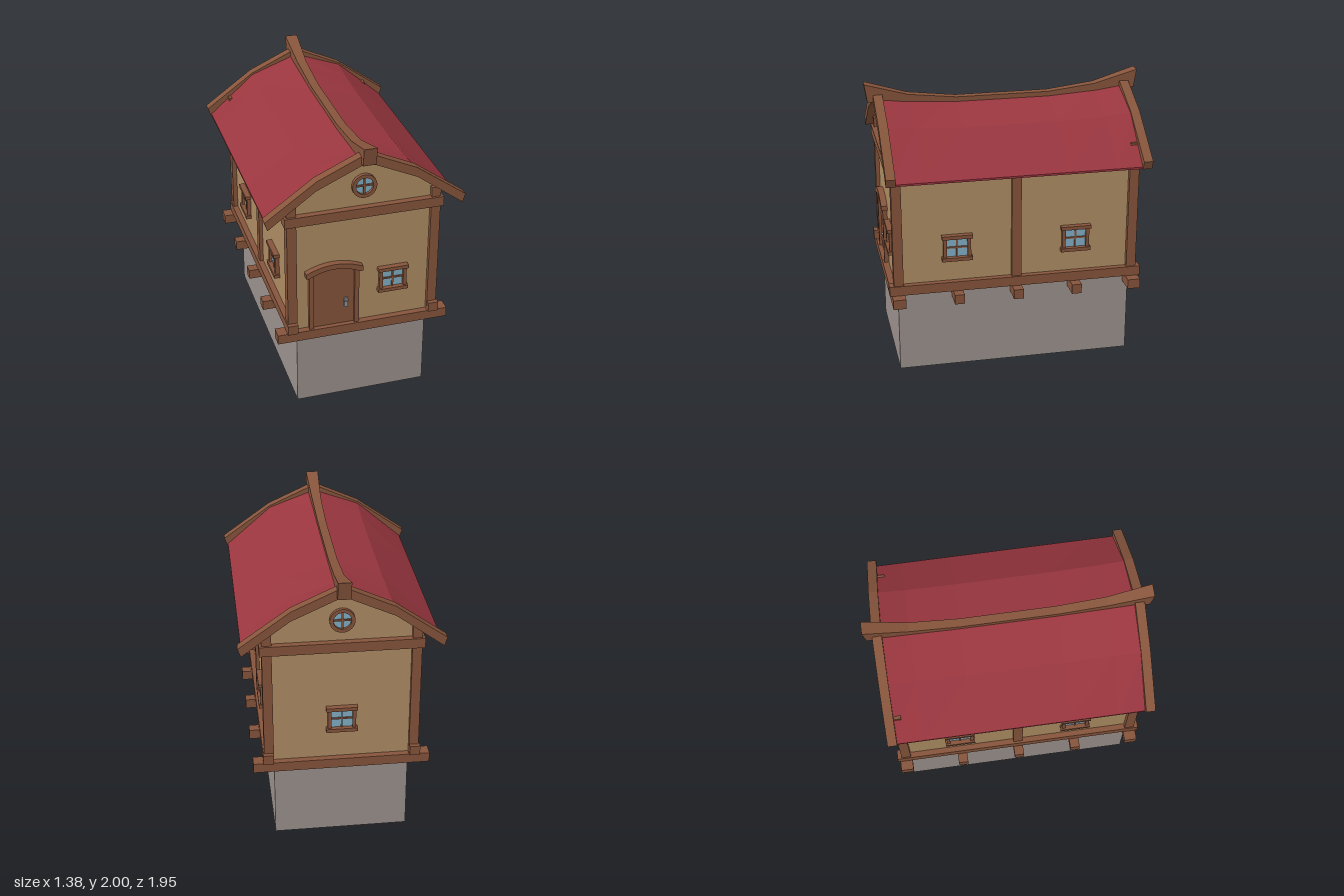
import * as THREE from 'three';

const mat = (name, color, side = THREE.FrontSide) => {
  const m = new THREE.MeshStandardMaterial({ color, side });
  m.name = name;
  return m;
};

export function createModel() {
  const house = new THREE.Group();
  house.name = 'house';
  const wood = mat('brown wood', 0x87553c);
  const plaster = mat('tan plaster', 0xaf8e64, THREE.DoubleSide);
  const roofRed = mat('red roof', 0x9a363f);
  const stone = mat('grey stone', 0x9c928e, THREE.DoubleSide);
  const glass = mat('blue glass', 0x82b2c8);
  const metal = mat('grey metal', 0x8d9498);

  const add = (parent, name, geo, material) => {
    const m = new THREE.Mesh(geo, material);
    m.name = name;
    parent.add(m);
    return m;
  };
  // Box given by its limits on each axis
  const box = (parent, name, material, x0, x1, y0, y1, z0, z1) => {
    const m = add(parent, name, new THREE.BoxGeometry(x1 - x0, y1 - y0, z1 - z0), material);
    m.position.set((x0 + x1) / 2, (y0 + y1) / 2, (z0 + z1) / 2);
    return m;
  };
  const outline = (pts) => new THREE.Shape(pts.map((p) => new THREE.Vector2(p[0], p[1])));
  const extrude = (shape, depth, curveSegments = 10) =>
    new THREE.ExtrudeGeometry(shape, { depth, bevelEnabled: false, curveSegments });
  // Joins cross-sections; each ring runs left to right on top, then back below
  const loft = (rings) => {
    const pos = [];
    const quad = (a, b, c, d) => [a, b, c, a, c, d].forEach((p) => pos.push(...p));
    const n = rings[0].length;
    for (let j = 0; j < rings.length - 1; j++) {
      for (let i = 0; i < n; i++) {
        const k = (i + 1) % n;
        quad(rings[j][i], rings[j + 1][i], rings[j + 1][k], rings[j][k]);
      }
    }
    const first = rings[0], last = rings[rings.length - 1];
    for (let i = 0; i < n / 2 - 1; i++) {
      quad(first[i], first[i + 1], first[n - 2 - i], first[n - 1 - i]);
      quad(last[n - 1 - i], last[n - 2 - i], last[i + 1], last[i]);
    }
    const g = new THREE.BufferGeometry();
    g.setAttribute('position', new THREE.Float32BufferAttribute(pos, 3));
    g.computeVertexNormals();
    return g;
  };

  // Foundation: four open walls
  for (const s of [-1, 1]) {
    const end = add(house, 'foundationEnd', new THREE.PlaneGeometry(0.93, 0.62), stone);
    end.position.set(0, 0.31, s * 0.835);
    end.rotation.y = s > 0 ? 0 : Math.PI;
    const side = add(house, 'foundationSide', new THREE.PlaneGeometry(1.67, 0.62), stone);
    side.position.set(s * 0.465, 0.31, 0);
    side.rotation.y = (s * Math.PI) / 2;
  }

  // Floor joists across, sills along the sides
  for (const z of [-0.42, 0, 0.42]) box(house, 'joist', wood, -0.61, 0.61, 0.545, 0.615, z - 0.035, z + 0.035);
  for (const s of [-1, 1]) {
    const joist = box(house, 'endJoist', wood, -0.61, 0.61, 0.545, 0.615, -0.045, 0.045);
    joist.position.z = s * 0.84;
    box(house, 'sill', wood, s * 0.505 - 0.036, s * 0.505 + 0.036, 0.615, 0.685, -0.9, 0.9);
  }

  // Walls, with gables on both ends
  const gable = outline([[-0.5, 0.615], [0.5, 0.615], [0.5, 1.615], [0.33, 1.755], [0, 1.885], [-0.33, 1.755], [-0.5, 1.615]]);
  for (const s of [-1, 1]) {
    const end = add(house, 'gableWall', new THREE.ShapeGeometry(gable), plaster);
    end.position.z = s * 0.84;
    end.rotation.y = s > 0 ? 0 : Math.PI;
    const side = add(house, 'sideWall', new THREE.PlaneGeometry(1.68, 1), plaster);
    side.position.set(s * 0.5, 1.115, 0);
    side.rotation.y = (s * Math.PI) / 2;
  }

  // Timber frame
  for (const sx of [-1, 1]) {
    const x = sx * 0.5;
    for (const sz of [-1, 1]) {
      box(house, 'cornerPost', wood, x - 0.033, x + 0.033, 0.615, sz < 0 ? 1.62 : 1.59, sz * 0.835 - 0.034, sz * 0.835 + 0.034);
    }
    box(house, 'middlePost', wood, x - 0.025, x + 0.025, 0.685, 1.45, -0.034, 0.034);
    box(house, 'wallPlate', wood, x - 0.035, x + 0.035, 1.45, 1.52, -0.85, 0.85);
    box(house, 'crossBeam', wood, -0.55, 0.55, 1.45, 1.52, sx * 0.84 - 0.045, sx * 0.84 + 0.045);
  }

  // Sagging roof skin
  const roofRings = [[-0.87, 1.9, 1.777], [-0.67, 1.868, 1.757], [-0.33, 1.845, 1.745],
    [0.33, 1.845, 1.745], [0.67, 1.868, 1.757], [0.87, 1.9, 1.777]].map(([z, top, mid]) => {
    const line = [[-0.665, 1.49], [-0.335, mid], [0, top], [0.335, mid], [0.665, 1.49]];
    const upper = line.map(([x, y]) => [x, y, z]);
    const lower = line.map(([x, y]) => [x, y - 0.014, z]).reverse();
    return [...upper, ...lower];
  });
  add(house, 'roof', loft(roofRings), roofRed);

  // Bargeboards on both gables
  const board = outline([[-0.69, 1.535], [-0.67, 1.475], [-0.345, 1.715], [0, 1.872], [0.345, 1.715],
    [0.67, 1.475], [0.69, 1.535], [0.34, 1.785], [0, 1.94], [-0.34, 1.785]]);
  for (const z of [-0.915, 0.85]) add(house, 'bargeboard', extrude(board, 0.065), wood).position.z = z;

  // Curved ridge beam: half length, half width, top, bottom, inset of the lower end
  const half = [[0.975, 0.045, 2, 1.872, 0.02], [0.67, 0.033, 1.91, 1.855, 0], [0.33, 0.03, 1.87, 1.825, 0]];
  const ridgeRing = (s) => ([z, w, top, low, inset]) => {
    const zl = s * (z - inset);
    return [[-w, top, s * z], [w, top, s * z], [w, low, zl], [-w, low, zl]];
  };
  add(house, 'ridgeBeam', loft([...half.map(ridgeRing(-1)), ...half.map(ridgeRing(1)).reverse()]), wood);

  // Square windows, built facing +z
  const squareWindow = (x, y, z, turn) => {
    const w = new THREE.Group();
    w.name = 'window';
    box(w, 'windowPane', glass, -0.075, 0.075, -0.07, 0.07, 0, 0.008);
    for (const s of [-1, 1]) {
      box(w, 'windowJamb', wood, s * 0.085 - 0.012, s * 0.085 + 0.012, -0.08, 0.08, 0, 0.028);
      box(w, 'windowRail', wood, -0.107, 0.107, s * 0.082 - 0.013, s * 0.082 + 0.013, 0, 0.04);
    }
    box(w, 'windowBar', wood, -0.006, 0.006, -0.07, 0.07, 0, 0.016);
    box(w, 'windowBar', wood, -0.075, 0.075, -0.006, 0.006, 0, 0.016);
    w.position.set(x, y, z);
    w.rotation.y = turn;
    house.add(w);
  };
  squareWindow(0.213, 0.923, 0.84, 0);
  squareWindow(0, 0.923, -0.84, Math.PI);
  for (const s of [-1, 1]) for (const z of [-0.425, 0.42]) squareWindow(s * 0.5, 0.937, z, (s * Math.PI) / 2);

  // Round gable windows
  const ring = new THREE.Shape().absarc(0, 0, 0.085, 0, Math.PI * 2);
  ring.holes.push(new THREE.Path().absarc(0, 0, 0.06, 0, Math.PI * 2, true));
  for (const s of [-1, 1]) {
    const w = new THREE.Group();
    w.name = 'roundWindow';
    add(w, 'roundFrame', extrude(ring, 0.025, 12), wood);
    add(w, 'roundPane', new THREE.CircleGeometry(0.065, 24), glass).position.z = 0.006;
    box(w, 'roundBar', wood, -0.006, 0.006, -0.062, 0.062, 0, 0.016);
    box(w, 'roundBar', wood, -0.062, 0.062, -0.006, 0.006, 0, 0.016);
    w.position.set(0, 1.672, s * 0.84);
    w.rotation.y = s > 0 ? 0 : Math.PI;
    house.add(w);
  }

  // Arched door with frame, hood and handle
  const door = new THREE.Group();
  door.name = 'door';
  door.position.set(-0.207, 0, 0.84);
  house.add(door);
  const panel = outline([[-0.15, 0.615], [0.15, 0.615], [0.15, 1.06]]);
  panel.quadraticCurveTo(0, 1.12, -0.15, 1.06);
  add(door, 'doorPanel', extrude(panel, 0.012), wood);
  for (const s of [-1, 1]) box(door, 'doorJamb', wood, s * 0.16 - 0.016, s * 0.16 + 0.016, 0.615, 1.05, 0, 0.032);
  const hood = outline([[-0.178, 1.035], [-0.2, 1.035], [-0.2, 1.07]]);
  hood.quadraticCurveTo(0, 1.167, 0.2, 1.07);
  hood.lineTo(0.2, 1.035);
  hood.lineTo(0.178, 1.035);
  hood.quadraticCurveTo(0, 1.127, -0.178, 1.035);
  add(door, 'doorHood', extrude(hood, 0.045), wood);
  box(door, 'handlePlate', metal, 0.074, 0.102, 0.745, 0.82, 0.012, 0.02);
  box(door, 'handleLever', metal, 0.07, 0.1, 0.796, 0.808, 0.02, 0.036);

  return house;
}
